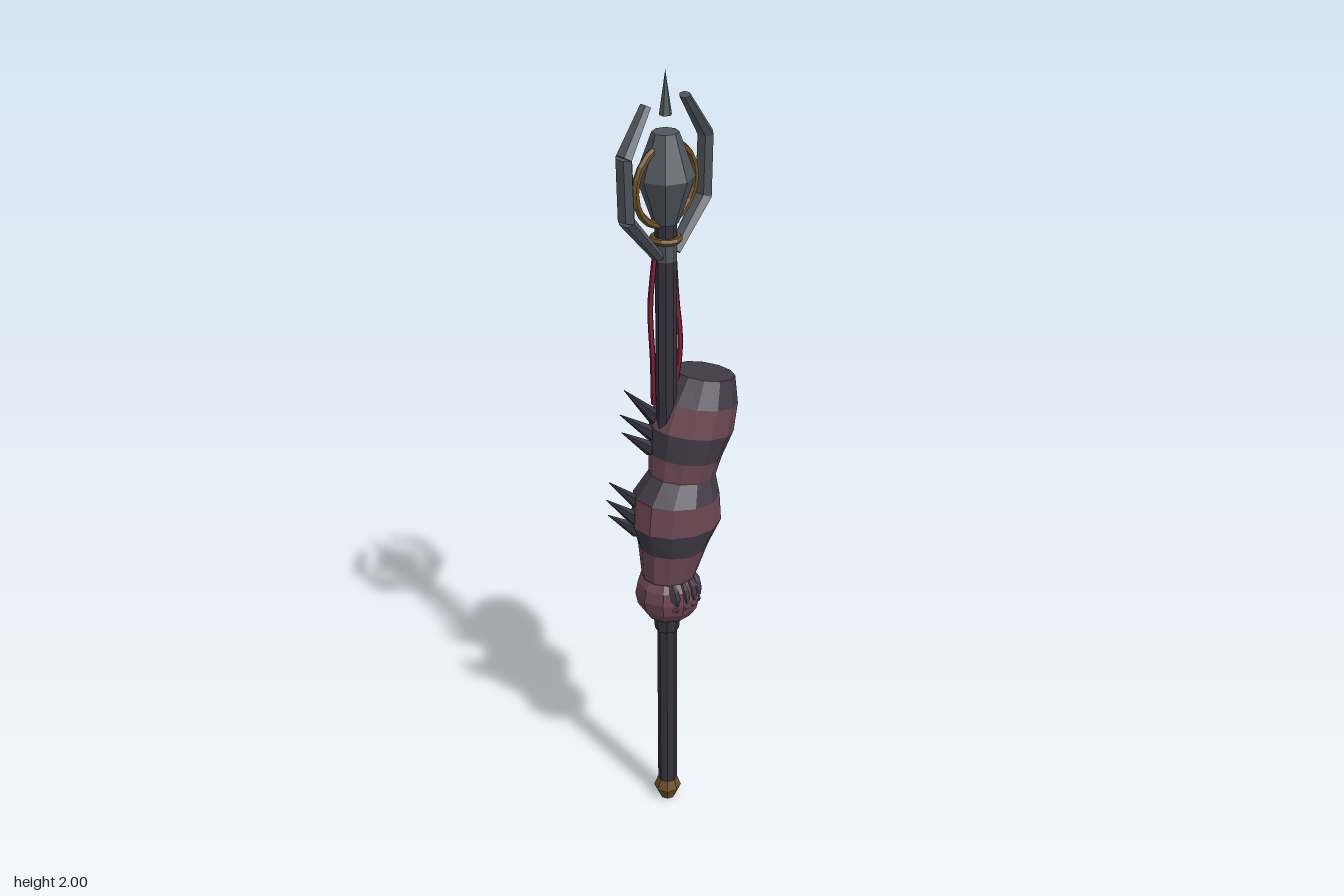
import * as THREE from 'three';

const mat = (name, color) => {
  const m = new THREE.MeshStandardMaterial({ color, flatShading: true });
  m.name = name;
  return m;
};

export function createModel() {
  const skin = mat('dusky pink', 0x6b4752);
  const dark = mat('dark stripe', 0x403a44);
  const shaftMat = mat('shaft black', 0x35323d);
  const metal = mat('grey steel', 0x50565d);
  const gold = mat('old gold', 0x6b5029);
  const red = mat('ribbon red', 0x7c2036);
  const spikeMat = mat('spike black', 0x302d36);

  const model = new THREE.Group();
  const staff = new THREE.Group();
  staff.name = 'staff';
  staff.position.set(-0.03, 0, -0.008);
  const limb = new THREE.Group();
  limb.name = 'arm';
  model.add(staff, limb);

  const add = (parent, name, geo, material, x = 0, y = 0, z = 0) => {
    const m = new THREE.Mesh(geo, material);
    m.name = name;
    m.position.set(x, y, z);
    parent.add(m);
    return m;
  };
  const lathe = (pts, sides) =>
    new THREE.LatheGeometry(pts.map(([r, y]) => new THREE.Vector2(r, y)), sides);
  const V = (x, y, z) => new THREE.Vector3(x, y, z);
  const UP = V(0, 1, 0);

  // Tapered bar between two points
  const bar = (parent, name, a, b, r0, r1, sides, material, flat = 1) => {
    const d = b.clone().sub(a);
    const m = add(parent, name, new THREE.CylinderGeometry(r1, r0, d.length(), sides), material);
    m.position.copy(a).lerp(b, 0.5);
    m.quaternion.setFromUnitVectors(UP, d.normalize());
    m.scale.x = flat;
    return m;
  };

  // Shaft, pommel and collars
  add(staff, 'shaft', new THREE.CylinderGeometry(0.025, 0.025, 1.62, 8), shaftMat, 0, 0.85);
  add(staff, 'pommel', lathe([[0, 0], [0.02, 0], [0.036, 0.035], [0.026, 0.062], [0, 0.062]], 8), gold);
  add(staff, 'gripCollar', new THREE.CylinderGeometry(0.034, 0.031, 0.035, 8), shaftMat, 0, 0.565);
  add(staff, 'headCollar', new THREE.CylinderGeometry(0.026, 0.026, 0.04, 8), metal, 0, 1.58);
  add(staff, 'neckRing', new THREE.TorusGeometry(0.031, 0.008, 6, 12), gold, 0, 1.612).rotation.x = Math.PI / 2;

  // Head: faceted core, hoop and floating tip
  add(staff, 'core', lathe([[0, 1.65], [0.03, 1.65], [0.068, 1.76], [0.031, 1.862], [0, 1.862]], 8), metal);
  add(staff, 'hoop', new THREE.TorusGeometry(0.094, 0.009, 6, 20), gold, 0, 1.74);
  add(staff, 'tip', new THREE.ConeGeometry(0.015, 0.1, 6), metal, 0, 1.95);

  // Three-part claw prongs and hanging ribbons on both sides
  for (const s of [-1, 1]) {
    const p = [V(s * 0.027, 1.575, 0), V(s * 0.122, 1.685, 0), V(s * 0.127, 1.83, 0), V(s * 0.06, 1.932, 0)];
    const r = [0.02, 0.026, 0.025, 0.017];
    for (let i = 0; i < 3; i++) {
      bar(staff, 'prong', p[i], p[i + 1], r[i], r[i + 1], 6, metal, 0.6);
    }
    const path = new THREE.CatmullRomCurve3([
      V(s * 0.031, 1.57, -0.005), V(s * 0.043, 1.45, -0.008),
      V(s * 0.046, 1.33, 0.002), V(s * 0.034, 1.2, -0.008),
    ]);
    add(staff, 'ribbon', new THREE.TubeGeometry(path, 8, 0.007, 5), red);
  }

  // Arm cross-sections: centre x, y, radius across, radius deep, lean
  const rings = [
    [-0.03, 0.72, 0.072, 0.066, 0], [-0.016, 0.80, 0.09, 0.085, 0.05],
    [-0.005, 0.865, 0.122, 0.102, 0.08], [-0.004, 0.94, 0.114, 0.1, 0.1],
    [0.016, 0.99, 0.088, 0.078, 0.14], [0.026, 1.04, 0.093, 0.088, 0.18],
    [0.048, 1.105, 0.11, 0.098, 0.2], [0.068, 1.175, 0.102, 0.097, 0.2],
    [0.09, 1.238, 0.077, 0.076, 0.2],
  ];
  const N = 12;
  const point = ([cx, y, rx, rz, lean], i) => {
    const a = ((i + 0.5) / N) * Math.PI * 2;
    const c = Math.cos(a) * rx;
    return [cx + c * Math.cos(lean), y - c * Math.sin(lean), Math.sin(a) * rz];
  };
  const surface = (pos) => {
    const g = new THREE.BufferGeometry();
    g.setAttribute('position', new THREE.Float32BufferAttribute(pos, 3));
    g.computeVertexNormals();
    return g;
  };
  // One mesh for each stripe
  for (let k = 0; k < rings.length - 1; k++) {
    const pos = [];
    for (let i = 0; i < N; i++) {
      const a = point(rings[k], i), b = point(rings[k], i + 1);
      const c = point(rings[k + 1], i + 1), d = point(rings[k + 1], i);
      pos.push(...a, ...d, ...c, ...a, ...c, ...b);
    }
    add(limb, 'armStripe', surface(pos), k % 2 ? dark : skin);
  }
  // Flat end of the arm
  const top = rings[rings.length - 1];
  const cap = [];
  for (let i = 0; i < N; i++) cap.push(top[0], top[1], 0, ...point(top, i + 1), ...point(top, i));
  add(limb, 'armEnd', surface(cap), dark);

  // Fist around the shaft, with curled dark finger ends in front
  add(limb, 'fist', new THREE.SphereGeometry(0.085, 10, 8), skin, -0.03, 0.665, -0.002);
  for (let i = 0; i < 4; i++) {
    const x = -0.0375 + i * 0.025;
    const z = Math.sqrt(0.078 ** 2 - x * x) - 0.014;
    const f = add(limb, 'finger', new THREE.SphereGeometry(0.016, 6, 5), dark, x - 0.03, 0.69, z);
    f.scale.set(0.9, 2.1, 1.1);
    f.rotation.x = -0.3;
    add(limb, 'knuckle', new THREE.SphereGeometry(0.012, 6, 4), skin, x - 0.03, 0.652, z + 0.005);
  }

  // Two clusters of back-swept spikes
  const clusters = [
    [[-0.085, 0.92, -0.04, -0.155, 0.995], [-0.1, 0.885, -0.04, -0.165, 0.95], [-0.095, 0.85, -0.045, -0.16, 0.905]],
    [[-0.03, 1.14, -0.045, -0.1, 1.225], [-0.04, 1.1, -0.045, -0.115, 1.165], [-0.045, 1.06, -0.045, -0.11, 1.115]],
  ];
  for (const cluster of clusters) {
    for (const [x, y, z, tx, ty] of cluster) {
      bar(limb, 'spike', V(x, y, z), V(tx, ty, -0.08), 0.02, 0.001, 6, spikeMat);
    }
  }

  return model;
}
